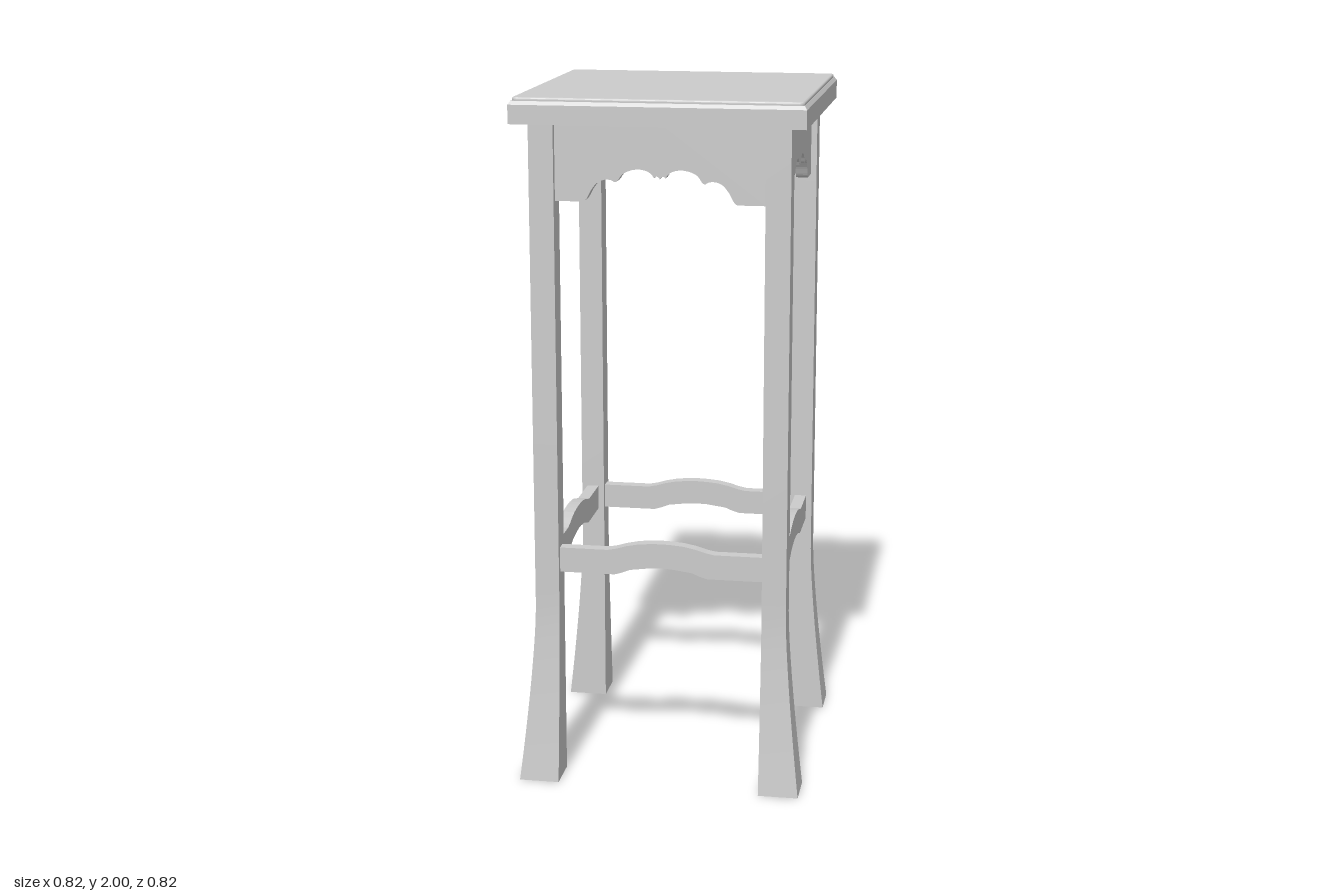
import * as THREE from 'three';

const material = new THREE.MeshStandardMaterial({ color: 0xcccccc });
const INNER = 0.295, OUTER = 0.365, LEG_TOP = 1.93;

function addMesh(parent, name, geometry) {
  const mesh = new THREE.Mesh(geometry, material);
  mesh.name = name;
  parent.add(mesh);
  return mesh;
}

// Square leg whose two outer faces flare towards the foot
function legGeometry() {
  const width = OUTER - INNER, mid = (OUTER + INNER) / 2;
  const geo = new THREE.BoxGeometry(width, LEG_TOP, width, 1, 40, 1);
  geo.translate(mid, LEG_TOP / 2, mid);
  const p = geo.attributes.position;
  for (let i = 0; i < p.count; i++) {
    const flare = 0.046 * Math.pow(Math.max(0, 1 - p.getY(i) / 0.52), 1.35);
    if (p.getX(i) > mid) p.setX(i, p.getX(i) + flare);
    if (p.getZ(i) > mid) p.setZ(i, p.getZ(i) + flare);
  }
  geo.computeVertexNormals();
  return geo;
}

// Mirrors a left-half edge (ending at x = 0) into a full edge
function mirrored(half) {
  const right = half.filter(([x]) => x < 0).reverse().map(([x, y]) => [-x, y]);
  return [...half, ...right];
}

// Board between two legs, centred in the leg thickness
function boardGeometry(lower, upper) {
  const outline = [...mirrored(lower), ...mirrored(upper).reverse()];
  const shape = new THREE.Shape(outline.map(([x, y]) => new THREE.Vector2(x, y)));
  const geo = new THREE.ExtrudeGeometry(shape, { depth: 0.035, bevelEnabled: false });
  return geo.translate(0, 0, 0.3125);
}

// Scalloped apron edge: flat end, ogee shoulder, large lobe, centre cusp
function apronEdge() {
  const path = new THREE.Path();
  path.moveTo(-INNER, 1.71);
  path.lineTo(-0.217, 1.71);
  path.bezierCurveTo(-0.203, 1.712, -0.2, 1.735, -0.187, 1.75);
  path.bezierCurveTo(-0.172, 1.775, -0.14, 1.778, -0.127, 1.766);
  path.bezierCurveTo(-0.115, 1.765, -0.115, 1.78, -0.102, 1.79);
  path.bezierCurveTo(-0.075, 1.808, -0.028, 1.808, -0.016, 1.779);
  path.quadraticCurveTo(-0.009, 1.79, 0, 1.777);
  return path.getPoints(8).map((v) => [v.x, v.y]);
}

function roundedSquare(half, r) {
  const s = new THREE.Shape();
  for (let i = 0; i < 4; i++) {
    const a = (i * Math.PI) / 2, c = half - r;
    const sx = i === 0 || i === 3 ? 1 : -1, sy = i < 2 ? 1 : -1;
    s.absarc(sx * c, sy * c, r, a, a + Math.PI / 2, false);
  }
  s.closePath();
  return s;
}

// Horizontal slab with a rounded edge, standing on height y
function slabGeometry(shape, y, depth, bevel) {
  const geo = new THREE.ExtrudeGeometry(shape, {
    depth: depth - 2 * bevel, bevelThickness: bevel, bevelSize: bevel,
    bevelOffset: -bevel, bevelSegments: 4, curveSegments: 6,
  });
  return geo.rotateX(-Math.PI / 2).translate(0, y + bevel, 0);
}

export function createModel() {
  const model = new THREE.Group();
  model.name = 'stool';

  // Seat: square slab, softened upper edge and a raised panel
  const seat = new THREE.Group();
  seat.name = 'seat';
  model.add(seat);
  addMesh(seat, 'seatSlab', new THREE.BoxGeometry(0.82, 0.053, 0.82).translate(0, 1.9535, 0));
  const rim = new THREE.CylinderGeometry(0.403 * Math.SQRT2, 0.41 * Math.SQRT2, 0.01, 4, 1);
  addMesh(seat, 'seatRim', rim.rotateY(Math.PI / 4).toNonIndexed().translate(0, 1.985, 0))
    .geometry.computeVertexNormals();
  addMesh(seat, 'seatPanel', slabGeometry(roundedSquare(0.402, 0.015), 1.975, 0.025, 0.006));

  const leg = legGeometry();
  const apron = boardGeometry(apronEdge(), [[-INNER, LEG_TOP], [0, LEG_TOP]]);
  const stretcher = boardGeometry(
    [[-INNER, 0.63], [-0.135, 0.63], [-0.115, 0.636], [-0.09, 0.646], [-0.06, 0.65], [-0.03, 0.654], [0, 0.655]],
    [[-INNER, 0.703], [-0.155, 0.703], [-0.13, 0.708], [-0.1, 0.717], [-0.065, 0.724], [-0.03, 0.727], [0, 0.728]],
  );

  // Four identical sides, each with a leg, an apron and a stretcher
  ['front', 'left', 'back', 'right'].forEach((name, i) => {
    const side = new THREE.Group();
    side.name = name + 'Side';
    side.rotation.y = (i * Math.PI) / 2;
    addMesh(side, 'leg', leg);
    addMesh(side, 'apron', apron);
    addMesh(side, 'stretcher', stretcher);
    model.add(side);
  });
  return model;
}
